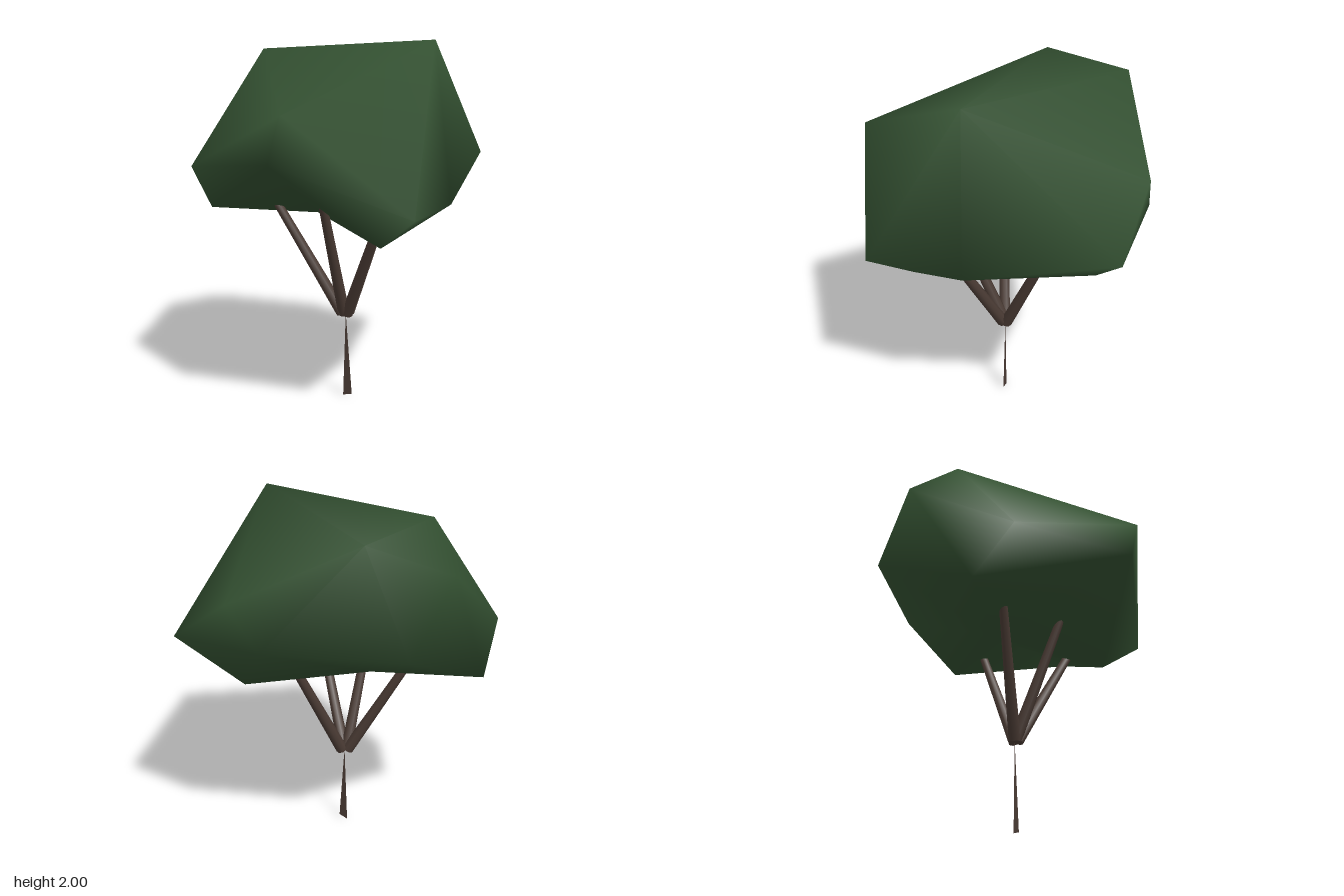
import * as THREE from 'three';
import { ConvexGeometry } from 'three/addons/geometries/ConvexGeometry.js';
import { mergeVertices } from 'three/addons/utils/BufferGeometryUtils.js';

const leafGreen = new THREE.MeshStandardMaterial({ color: 0x335031 });
leafGreen.name = 'leafGreen';
const barkBrown = new THREE.MeshStandardMaterial({ color: 0x4a3b34, side: THREE.DoubleSide });
barkBrown.name = 'barkBrown';

// Faceted outline with smooth normals; the middle of its underside is dented upwards
function canopyGeometry() {
  const dentLow = 0.68, dentHigh = 1.06;
  const corners = [
    // crown
    [0.58, 2.0, 0.02], [-0.47, 1.97, -0.05], [-0.37, 1.93, -0.52],
    // shoulders
    [0.12, 1.65, 0.775], [0.23, 1.62, -0.78], [-0.68, 1.76, -0.22],
    // waist
    [0.04, 1.42, 0.76], [0.68, 1.17, 0.52], [0.68, 1.17, 0], [0.61, 1.37, -0.75],
    [0.06, 1.4, -0.76], [-0.59, 1.4, -0.48], [-0.65, 1.34, 0.42],
    // underside
    [0.45, 0.99, 0.38], [-0.68, 1.08, 0.2], [0.32, 1.1, -0.57], [-0.11, dentLow, -0.02],
  ].map((p) => new THREE.Vector3(...p));

  let geometry = new ConvexGeometry(corners);
  const pos = geometry.attributes.position;
  for (let i = 0; i < pos.count; i++) {
    if (pos.getY(i) < dentLow + 0.01) pos.setY(i, dentHigh);
  }
  geometry.deleteAttribute('normal');
  geometry = mergeVertices(geometry);
  geometry.computeVertexNormals();
  return geometry;
}

// Tapered round limb between two points
function limb(name, from, to) {
  const a = new THREE.Vector3(...from), b = new THREE.Vector3(...to);
  const dir = b.clone().sub(a);
  const mesh = new THREE.Mesh(new THREE.CylinderGeometry(0.023, 0.034, dir.length(), 8), barkBrown);
  mesh.position.copy(a).add(b).multiplyScalar(0.5);
  mesh.quaternion.setFromUnitVectors(new THREE.Vector3(0, 1, 0), dir.normalize());
  mesh.name = name;
  return mesh;
}

export function createModel() {
  const tree = new THREE.Group();
  tree.name = 'tree';

  const canopy = new THREE.Mesh(canopyGeometry(), leafGreen);
  canopy.name = 'canopy';
  tree.add(canopy);

  // Flat sliver of a trunk, running to a point
  const outline = new THREE.Shape([
    new THREE.Vector2(0.062, 0), new THREE.Vector2(0.117, 0.015), new THREE.Vector2(0.077, 0.5),
  ]);
  const trunk = new THREE.Mesh(new THREE.ShapeGeometry(outline), barkBrown);
  trunk.name = 'trunk';
  tree.add(trunk);

  // Branches fanning out from the top of the trunk
  tree.add(
    limb('rightBranch', [0.06, 0.5, 0.01], [-0.31, 1.18, 0.15]),
    limb('frontBranch', [0.07, 0.5, 0.01], [0.087, 1.2, 0.31]),
    limb('backBranch', [0.09, 0.5, -0.01], [0.225, 1.2, -0.33]),
    limb('leftBranch', [0.09, 0.5, 0.01], [0.4, 1.15, 0.23]),
  );
  return tree;
}
